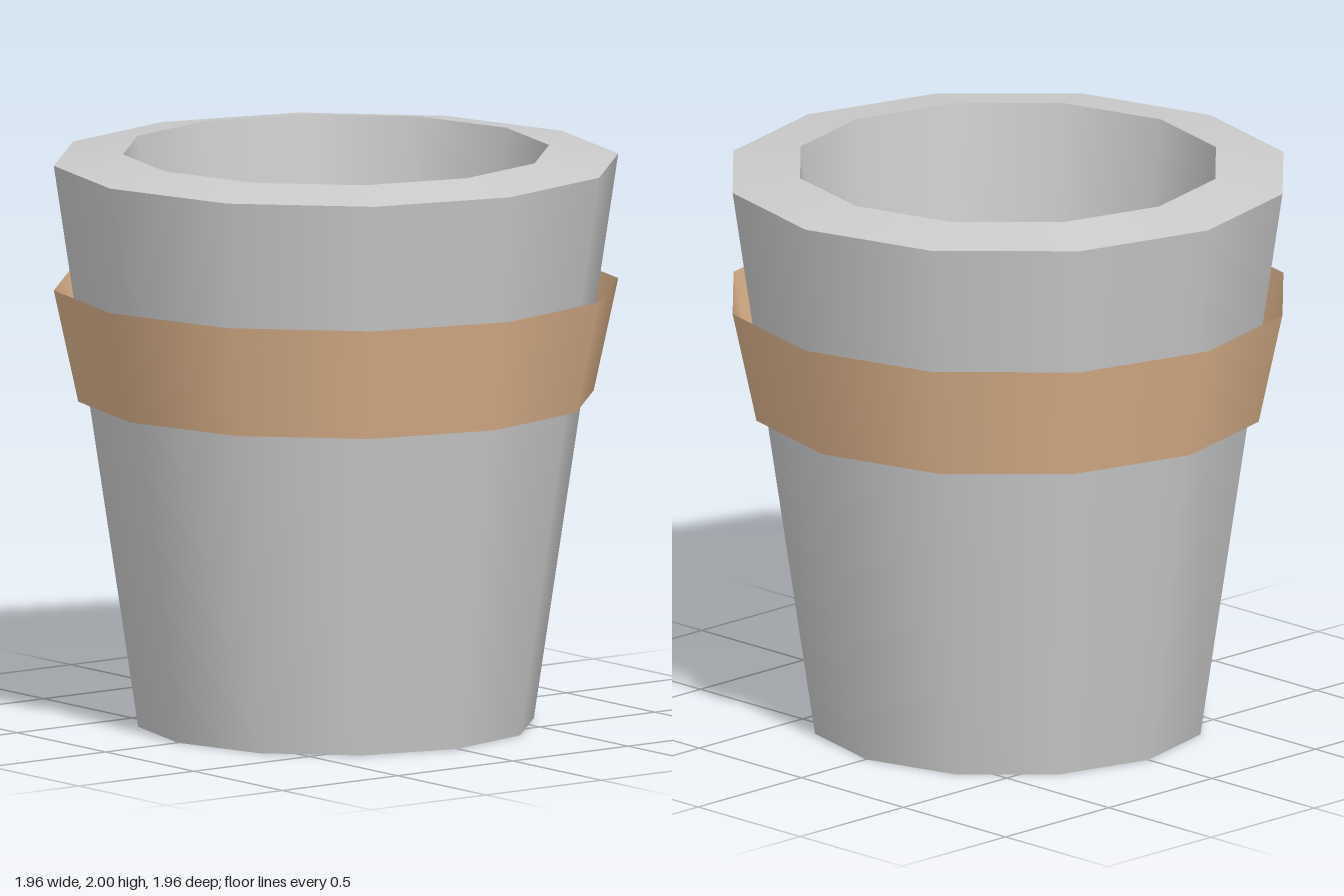
import * as THREE from 'three';

const SIDES = 12;

// One straight profile segment turned round the y axis; separate segments keep the edges sharp.
function ring(name, r0, y0, r1, y1, material) {
  const profile = [new THREE.Vector2(r0, y0), new THREE.Vector2(r1, y1)];
  const mesh = new THREE.Mesh(new THREE.LatheGeometry(profile, SIDES), material);
  mesh.name = name;
  return mesh;
}

export function createModel() {
  const grey = new THREE.MeshStandardMaterial({ color: 0xcccccc });
  const tan = new THREE.MeshStandardMaterial({ color: 0xdeb48c, side: THREE.DoubleSide });

  // Cup body: base, outer wall, sloping rim, inner wall and floor
  const cup = new THREE.Group();
  cup.name = 'cup';
  cup.add(
    ring('base', 0, 0, 0.687, 0, grey),
    ring('outerWall', 0.687, 0, 0.98, 1.965, grey),
    ring('rim', 0.98, 1.965, 0.74, 2, grey),
    ring('innerWall', 0.74, 2, 0.515, 0.25, grey),
    ring('floor', 0.515, 0.25, 0, 0.25, grey)
  );

  // Thin open sleeve flaring away from the wall
  const sleeve = ring('sleeve', 0.895, 1.14, 0.98, 1.53, tan);

  const model = new THREE.Group();
  model.name = 'cupWithSleeve';
  model.add(cup, sleeve);
  return model;
}
